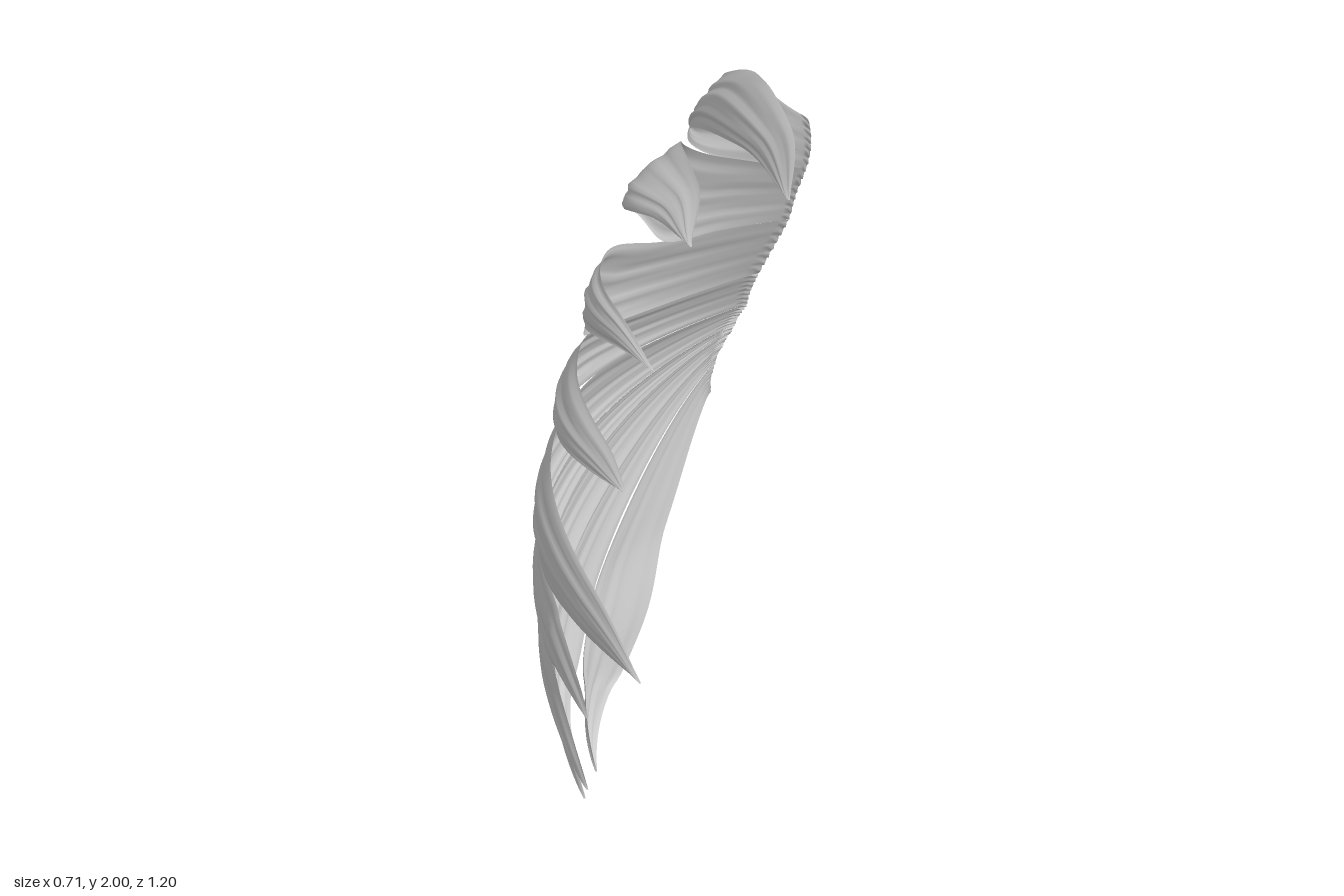
import * as THREE from 'three';

// Curvature of the whole fan by height: x of its outermost line, z of that line,
// bend behind it (towards the root), bend in front of it (the curl of the tips)
const heights = [0, 0.25, 0.5, 1.05, 1.47, 1.7, 1.8, 2];
const bends = [
  -0.20, 0.10, 1.2, 0.3,
  -0.26, 0.15, 1.25, 0.6,
  -0.30, 0.15, 1.05, 0.8,
  -0.29, 0.15, 0.9, 1.5,
  -0.17, 0.05, 1.7, 2.8,
  -0.08, -0.03, 2.5, 2.2,
  0.04, -0.10, 2.6, 1.3,
  0.17, -0.17, 3.0, 1.0,
];
const table = new THREE.CubicInterpolant(heights, bends, 4);

function fanX(z, y) {
  const [x, fold, back, front] = table.evaluate(THREE.MathUtils.clamp(y, 0, 2));
  const d = z - fold;
  return x + (d < 0 ? back : front) * d * d;
}

// Seams between feathers, top to bottom: root z, y, notch z, y, bow
const seams = [
  [-0.45, 1.71, -0.2, 1.93, 0.04],
  [-0.48, 1.56, -0.33, 1.67, 0],
  [-0.52, 1.4, -0.27, 1.48, 0],
  [-0.56, 1.22, -0.05, 1.36, -0.02],
  [-0.6, 1.1, -0.15, 1.165, 0],
  [-0.6, 1.04, 0.28, 0.9, 0],
  [-0.6, 1.02, 0.28, 0.67, 0],
  [-0.59, 0.98, 0.08, 0.54, -0.02],
  [-0.58, 0.93, -0.06, 0.35, 0],
  [-0.57, 0.84, -0.2, 0.18, -0.015],
];

// Free ends of the feathers: tip z, y, bow of the upper and the lower edge
const tips = [
  [0.25, 1.855, 0.1, 0.095],
  [0.19, 1.72, 0.105, 0.075],
  [0.27, 1.47, 0.09, 0.043],
  [0.38, 1.23, 0.045, 0.015],
  [0.6, 0.87, 0.085, 0.005],
  [0.49, 0.65, 0.03, 0.01],
  [0.48, 0.39, 0.02, 0.012],
  [0.32, 0.17, 0.012, 0],
  [0.08, 0, 0, 0],
];

// Point on the line from a to b, pushed sideways
function bowed(a, b, t, bow) {
  const d = b.clone().sub(a).normalize();
  return a.clone().lerp(b, t).add(new THREE.Vector2(-d.y, d.x).multiplyScalar(bow));
}

// Edge of a feather: along its seam to the notch, then free to the tip
function edgeCurve([rootZ, rootY, notchZ, notchY, sag], tip, bow) {
  const root = new THREE.Vector2(rootZ, rootY);
  const notch = new THREE.Vector2(notchZ, notchY);
  return new THREE.SplineCurve([
    root, bowed(root, notch, 0.5, sag), notch,
    bowed(notch, tip, 0.35, bow), bowed(notch, tip, 0.76, bow * 0.87), tip,
  ]);
}

// A thin cupped blade stretched between two edges and bent onto the fan
function featherGeometry(top, bottom, seed) {
  const length = 56, width = 20;
  const geometry = new THREE.PlaneGeometry(1, 1, width, length);
  const position = geometry.attributes.position;
  for (let i = 0; i <= length; i++) {
    const u = i / length;
    const a = top.getPoint(u), b = bottom.getPoint(u);
    const fade = Math.sin(Math.PI * (u * 0.9 + 0.04));
    for (let j = 0; j <= width; j++) {
      const v = j / width;
      const p = a.clone().lerp(b, v);
      const cup = 0.022 * Math.sin(Math.PI * v) * fade;
      // Fine grooves running along the blade
      const groove = 0.0028 * fade * (Math.sin(v * 23 + u * 3 + seed) + 0.7 * Math.sin(v * 39 - u * 5 + seed * 2));
      // Slightly ragged root
      const ragged = i === 0 ? 0.008 * (1 + Math.sin(j * 2.3 + seed)) : 0;
      position.setXYZ(i * (width + 1) + j, fanX(p.x, p.y) - cup + groove, p.y, p.x + ragged);
    }
  }
  geometry.computeVertexNormals();
  return geometry;
}

export function createModel() {
  const wing = new THREE.Group();
  wing.name = 'featherFan';
  const material = new THREE.MeshStandardMaterial({ color: 0xcccccc, side: THREE.DoubleSide });
  tips.forEach(([z, y, upperBow, lowerBow], i) => {
    const tip = new THREE.Vector2(z, y);
    const top = edgeCurve(seams[i], tip, upperBow);
    const bottom = edgeCurve(seams[i + 1], tip, lowerBow);
    const feather = new THREE.Mesh(featherGeometry(top, bottom, i * 1.7), material);
    feather.name = `feather${i + 1}`;
    wing.add(feather);
  });
  return wing;
}
